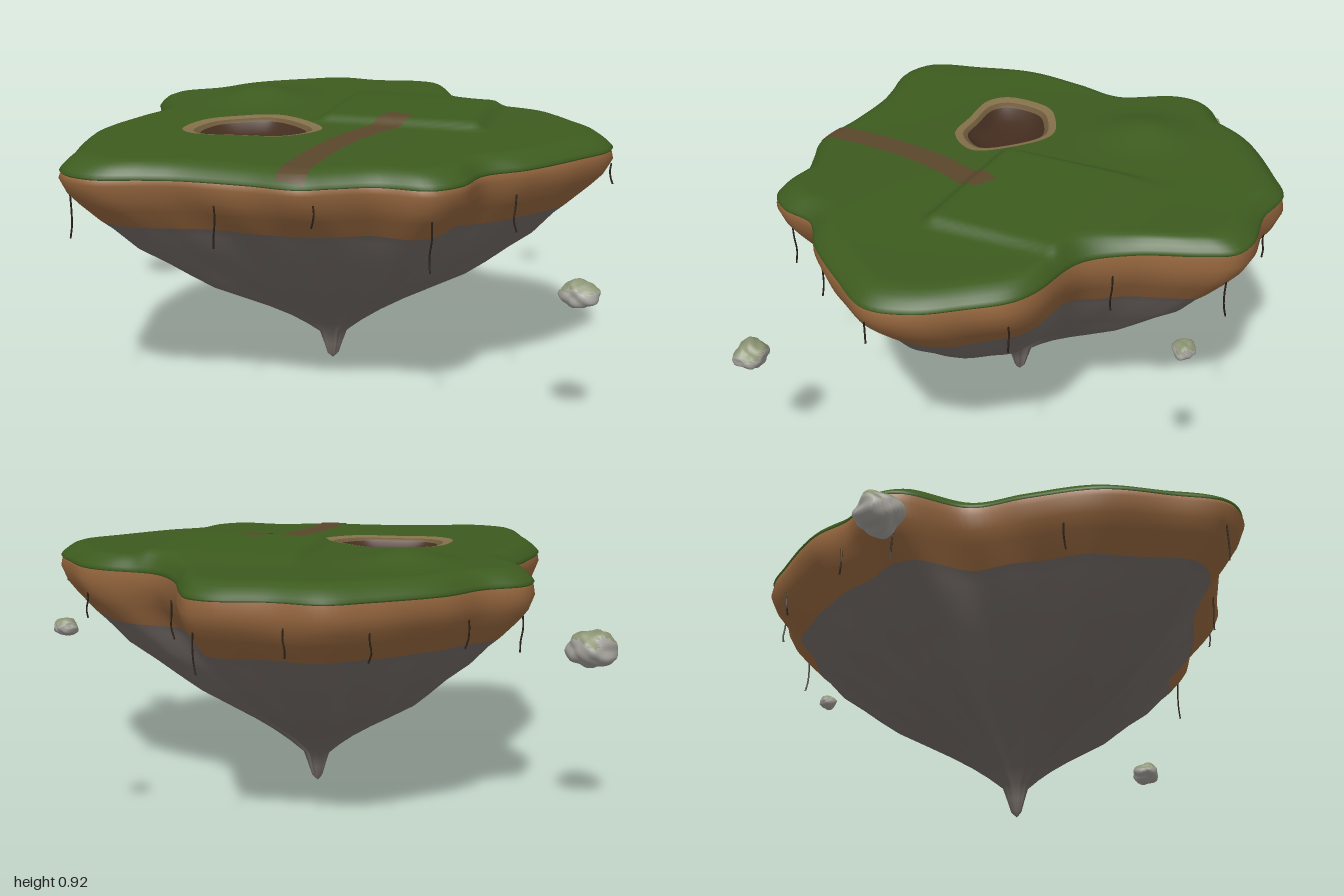
import * as THREE from 'three';

const mat = (name, color, side = THREE.FrontSide) => {
  const m = new THREE.MeshStandardMaterial({ color, side });
  m.name = name;
  return m;
};

const N = 224; // points around the island
const CX = 0.04, CZ = 0.04; // axis of the hanging rock
const PX = -0.185, PZ = 0.2; // middle of the hollow

const spline = (pairs) => new THREE.CatmullRomCurve3(
  pairs.map(([x, z]) => new THREE.Vector3(x, 0, z)), true, 'centripetal');

// Shoreline of the island, counter-clockwise from above
const outline = spline([
  [0.976, 0.05], [0.945, -0.09], [0.86, -0.21], [0.77, -0.315], [0.69, -0.355], [0.49, -0.40], [0.38, -0.53],
  [0.30, -0.72], [0.25, -0.805], [0.17, -0.833], [0, -0.81], [-0.16, -0.825], [-0.29, -0.75], [-0.49, -0.60],
  [-0.585, -0.465], [-0.71, -0.37], [-0.73, -0.27], [-0.635, -0.06], [-0.68, 0.13], [-0.718, 0.37], [-0.67, 0.59],
  [-0.615, 0.775], [-0.5, 0.825], [-0.345, 0.79], [-0.24, 0.77], [-0.02, 0.77], [0.135, 0.782], [0.24, 0.735],
  [0.35, 0.69], [0.51, 0.69], [0.59, 0.615], [0.63, 0.48], [0.75, 0.375], [0.885, 0.20],
]).getSpacedPoints(N).slice(0, N);

// Edge of the hollow, matched to the shoreline by direction
const hollowDense = spline([
  [0.232, 0.01], [0.155, -0.1], [0.016, -0.182], [-0.118, -0.134], [-0.203, -0.059],
  [-0.222, 0.105], [-0.165, 0.16], [0, 0.152], [0.14, 0.132],
]).getPoints(1500);
const hollow = outline.map((p) => {
  const d = new THREE.Vector3(p.x - PX, 0, p.z - PZ).normalize();
  let best = hollowDense[0], dot = -2;
  for (const q of hollowDense) {
    const c = q.dot(d) / q.length();
    if (c > dot) { dot = c; best = q; }
  }
  return best;
});

// Height of the lawn: gentle tilt, one mound and a raised building plot
function lawnHeight(x, z) {
  const s = THREE.MathUtils.smoothstep;
  const base = 0.873 - 0.02 * z + 0.003 * Math.sin(5 * x + 1) * Math.cos(4 * z);
  const mound = 0.042 * Math.exp(-(((x + 0.32) / 0.13) ** 2) - ((z + 0.27) / 0.14) ** 2);
  const plot = s(x, -0.02, 0.04) * (1 - s(x, 0.53, 0.58)) * s(z, -0.52, -0.3) * (1 - s(z, 0.075, 0.125));
  return THREE.MathUtils.lerp(base + mound, 0.9, plot);
}
const dirtTop = (z) => 0.82 - 0.017 * z;

// Side profile below the grass: height, share of the full radius
const profile = [
  [0.82, 0.995], [0.79, 1.003], [0.74, 0.978], [0.7, 0.94], [0.637, 0.87], [0.605, 0.828], [0.53, 0.748],
  [0.47, 0.655], [0.41, 0.57], [0.36, 0.495], [0.3, 0.375], [0.25, 0.275], [0.2, 0.185], [0.155, 0.115],
  [0.11, 0.055], [0.06, 0.036], [0.02, 0.022], [0, 0],
];
function wallRing([y, f], k) {
  return outline.map((p) => {
    const a = Math.atan2(p.z - CZ, p.x - CX);
    const w = Math.sin(Math.PI * THREE.MathUtils.clamp(y / 0.82, 0, 1));
    const g = f * (1 + w * (0.012 * Math.sin(9 * a + 7 * y) + 0.012 * Math.sin(17 * a - 12 * y)));
    return new THREE.Vector3(CX + (p.x - CX) * g, k === 0 ? dirtTop(p.z) : y, CZ + (p.z - CZ) * g);
  });
}

// Skin over closed rings, ordered from the inside outwards and then down
function loft(rings) {
  const pos = [], idx = [];
  for (const r of rings) for (const p of r) pos.push(p.x, p.y, p.z);
  for (let k = 0; k < rings.length - 1; k++) {
    for (let i = 0; i < N; i++) {
      const j = (i + 1) % N;
      const a = k * N + i, b = a + N, c = (k + 1) * N + j, d = k * N + j;
      idx.push(a, b, c, a, c, d);
    }
  }
  const g = new THREE.BufferGeometry();
  g.setAttribute('position', new THREE.Float32BufferAttribute(pos, 3));
  g.setIndex(idx);
  g.computeVertexNormals();
  return g;
}

const hollowRing = ([f, drop]) => hollow.map((q) => {
  const x = PX + q.x * f, z = PZ + q.z * f;
  return new THREE.Vector3(x, lawnHeight(x, z) - drop, z);
});

function lawnRings() {
  const rings = [], M = 52;
  const inset = (p, f) => [CX + (p.x - CX) * f, CZ + (p.z - CZ) * f];
  for (let k = 0; k <= M; k++) {
    rings.push(outline.map((p, i) => {
      const [ex, ez] = inset(p, 0.9);
      const x = THREE.MathUtils.lerp(PX + hollow[i].x, ex, k / M);
      const z = THREE.MathUtils.lerp(PZ + hollow[i].z, ez, k / M);
      return new THREE.Vector3(x, lawnHeight(x, z), z);
    }));
  }
  // Rounded shoulder down to the soil
  for (const [f, t] of [[0.925, 0.06], [0.95, 0.2], [0.972, 0.45], [0.99, 0.7], [1, 0.88], [0.995, 1]]) {
    rings.push(outline.map((p) => {
      const [x, z] = inset(p, f);
      return new THREE.Vector3(x, THREE.MathUtils.lerp(lawnHeight(x, z), dirtTop(p.z), t), z);
    }));
  }
  return rings;
}

// Footpath ribbon draped on the lawn
function pathGeometry(lawn) {
  const curve = new THREE.CatmullRomCurve3([[0.285, 0.03], [0.19, 0.24], [0.136, 0.45], [0.115, 0.67], [0.11, 0.772]]
    .map(([x, z]) => new THREE.Vector3(x, 0, z)));
  const ray = new THREE.Raycaster(), down = new THREE.Vector3(0, -1, 0);
  const L = 60, W = 6, g = new THREE.PlaneGeometry(1, 1, W, L), pos = g.attributes.position;
  for (let k = 0; k <= L; k++) {
    const p = curve.getPoint(k / L), t = curve.getTangent(k / L);
    for (let i = 0; i <= W; i++) {
      const o = (i / W - 0.5) * 0.09;
      const x = p.x + t.z * o, z = p.z - t.x * o;
      ray.set(new THREE.Vector3(x, 2, z), down);
      const hit = ray.intersectObject(lawn)[0];
      pos.setXYZ(k * (W + 1) + i, x, (hit ? hit.point.y : 0.825) + 0.003, z);
    }
  }
  g.computeVertexNormals();
  return g;
}

// Lumpy boulder with moss on its upward faces
function boulderGeometry(rx, ry, rz, seed) {
  const g = new THREE.SphereGeometry(1, 32, 22), pos = g.attributes.position, v = new THREE.Vector3();
  for (let i = 0; i < pos.count; i++) {
    v.fromBufferAttribute(pos, i);
    const s = 0.94 + 0.08 * Math.sin(4 * v.x + seed) * Math.cos(4 * v.y - seed) + 0.06 * Math.sin(5 * v.z + 2 * v.y + seed * 2)
      + 0.05 * Math.sin(8 * v.x + 5 * v.z + seed) * Math.cos(7 * v.y);
    pos.setXYZ(i, v.x * s * rx, v.y * s * ry, v.z * s * rz);
  }
  g.computeVertexNormals();
  const index = [...g.index.array], top = [], rest = [];
  for (let i = 0; i < index.length; i += 3) {
    const tri = index.slice(i, i + 3);
    const ny = tri.reduce((sum, n) => sum + g.attributes.normal.getY(n), 0) / 3;
    (ny > 0.45 ? top : rest).push(...tri);
  }
  g.setIndex([...rest, ...top]);
  g.clearGroups();
  g.addGroup(0, rest.length, 0);
  g.addGroup(rest.length, top.length, 1);
  return g;
}

export function createModel() {
  const grass = mat('grass', 0x3d5b1f), soil = mat('soil', 0x98683f), rock = mat('rock', 0x746c67);
  const sand = mat('sand', 0x84704a), dampSand = mat('damp sand', 0x6c583a), mud = mat('mud', 0x442d20);
  const trail = mat('trail', 0x5a472b, THREE.DoubleSide), bark = mat('root bark', 0x2b2018);
  const stone = mat('stone', 0xa3a19a), moss = mat('moss', 0x8a9272);

  const model = new THREE.Group();
  model.name = 'floatingIsland';
  const add = (name, geometry, material, parent = model) => {
    const m = new THREE.Mesh(geometry, material);
    m.name = name;
    parent.add(m);
    return m;
  };

  // Island body
  const lawn = add('lawn', loft(lawnRings()), grass);
  const walls = profile.map(wallRing);
  add('soilLayer', loft(walls.slice(0, 5)), soil);
  add('hangingRock', loft(walls.slice(4)), rock);

  // Hollow and its banks
  add('hollowFloor', loft([[0, 0.06], [0.3, 0.058], [0.5, 0.05], [0.65, 0.035], [0.76, 0.016]].map(hollowRing)), mud);
  add('innerBank', loft([[0.76, 0.016], [0.8, 0.01], [0.85, 0.006]].map(hollowRing)), dampSand);
  add('outerBank', loft([[0.85, 0.006], [0.92, 0.002], [1, 0]].map(hollowRing)), sand);

  add('footpath', pathGeometry(lawn), trail);

  // Thin roots hanging from the soil: place on the shore, top height, length
  const roots = new THREE.Group();
  roots.name = 'roots';
  model.add(roots);
  [
    [0.18, 0.77, 0.76, 0.07], [0.54, 0.68, 0.71, 0.16], [0.74, 0.385, 0.74, 0.12], [0.97, 0.04, 0.78, 0.07],
    [0.78, -0.3, 0.75, 0.1], [0.42, -0.47, 0.76, 0.13], [0.25, -0.8, 0.73, 0.13], [-0.05, -0.81, 0.76, 0.09],
    [-0.29, -0.75, 0.75, 0.1], [-0.56, -0.5, 0.75, 0.1], [-0.72, -0.3, 0.72, 0.12], [-0.7, 0.25, 0.72, 0.1],
    [-0.61, 0.78, 0.74, 0.14], [-0.13, 0.77, 0.74, 0.14],
  ].forEach(([x, z, y, len], k) => {
    const near = (p) => Math.hypot(p.x - x, p.z - z);
    const s = outline.reduce((a, b) => (near(b) < near(a) ? b : a));
    const f = THREE.MathUtils.mapLinear(y, 0.7, 0.79, 0.945, 1.008);
    const pts = [0, 0.35, 0.7, 1].map((t, n) => new THREE.Vector3(
      CX + (s.x - CX) * f + 0.008 * Math.sin(k + n * 1.7) * t,
      y - len * t,
      CZ + (s.z - CZ) * f + 0.006 * Math.cos(k * 2 + n) * t));
    add('root', new THREE.TubeGeometry(new THREE.CatmullRomCurve3(pts), 10, 0.003, 5), bark, roots);
  });

  // Drifting boulders
  for (const [x, y, z, rx, ry, rz, seed] of [
    [-0.918, 0.625, -0.298, 0.084, 0.066, 0.078, 1],
    [0.933, 0.487, 0.522, 0.064, 0.045, 0.054, 2.6],
    [0.632, 0.733, -0.79, 0.038, 0.029, 0.036, 4.2],
  ]) add('boulder', boulderGeometry(rx, ry, rz, seed), [stone, moss]).position.set(x, y, z);

  return model;
}
